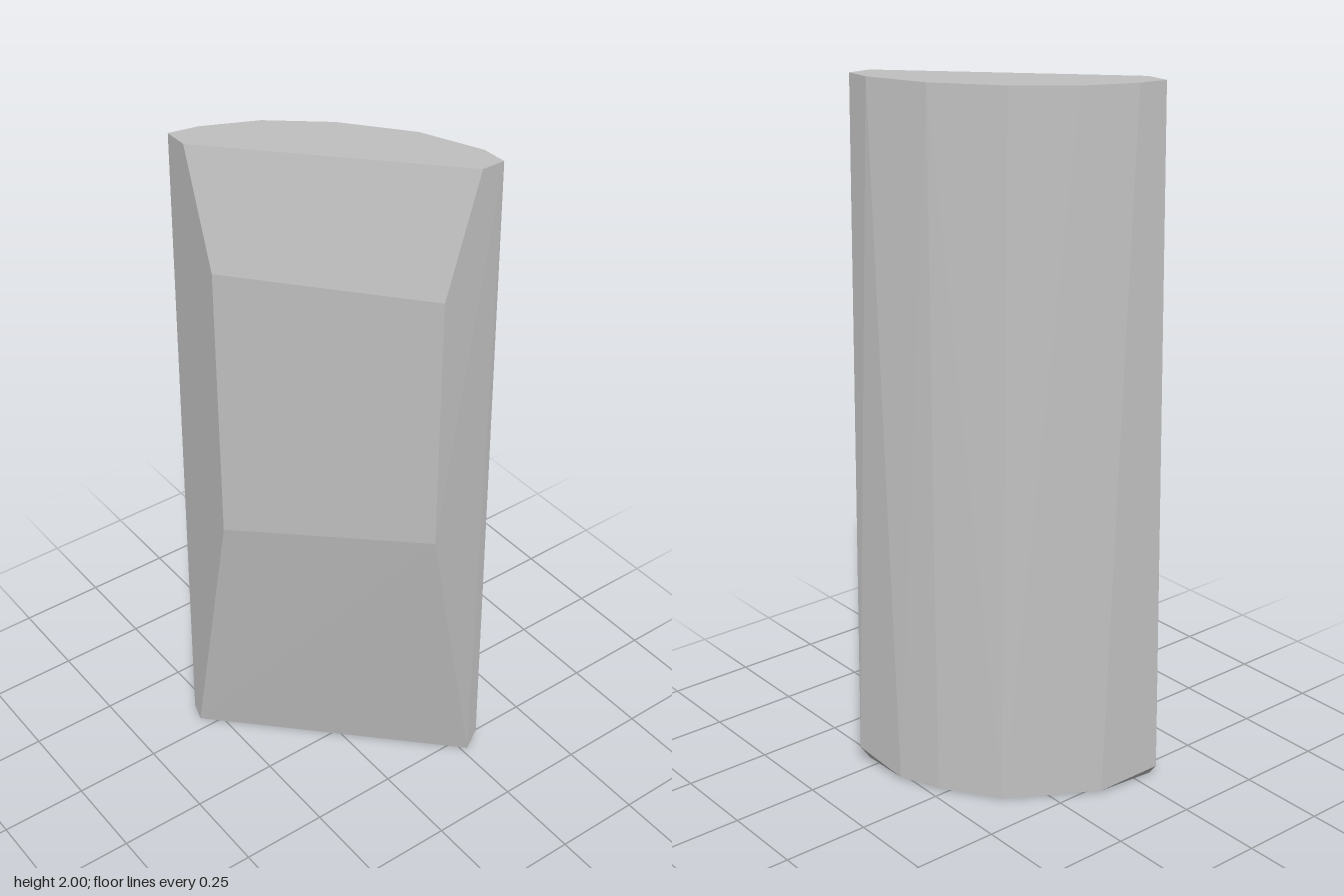
import * as THREE from 'three';
import { ConvexGeometry } from 'three/addons/geometries/ConvexGeometry.js';

export function createModel() {
  const group = new THREE.Group();
  group.name = 'facetedSlab';

  const stone = new THREE.MeshStandardMaterial({ color: 0xc0c0c0 });
  stone.name = 'pale grey stone';

  // Corners as [x, y, z], grouped by level
  const topRim = [
    [-0.305, -0.275], [-0.227, -0.26], [-0.087, -0.195], [0.053, -0.079], [0.184, 0.083],
    [0.253, 0.245], [0.255, 0.315], [0.19, 0.315], [-0.305, -0.207],
  ].map(([x, z]) => [x, 2, z]);

  // Flat front band between the upper and lower slopes
  const frontBand = [
    [-0.305, 1.685, -0.107], [0.09, 1.665, 0.315],
    [-0.305, 0.87, -0.107], [0.09, 0.905, 0.315],
  ];

  // Wider curved base with clipped ends
  const base = [
    [-0.305, 0.035, -0.317], [-0.124, 0.008, -0.284], [0.115, 0.004, -0.134],
    [0.222, 0.006, 0.023], [0.272, 0.008, 0.135], [0.303, 0.05, 0.288],
    [0.268, 0, 0.293], [-0.305, 0, -0.29],
  ];

  const points = [...topRim, ...frontBand, ...base].map((p) => new THREE.Vector3(...p));
  const slab = new THREE.Mesh(new ConvexGeometry(points), stone);
  slab.name = 'slab';
  group.add(slab);
  return group;
}
